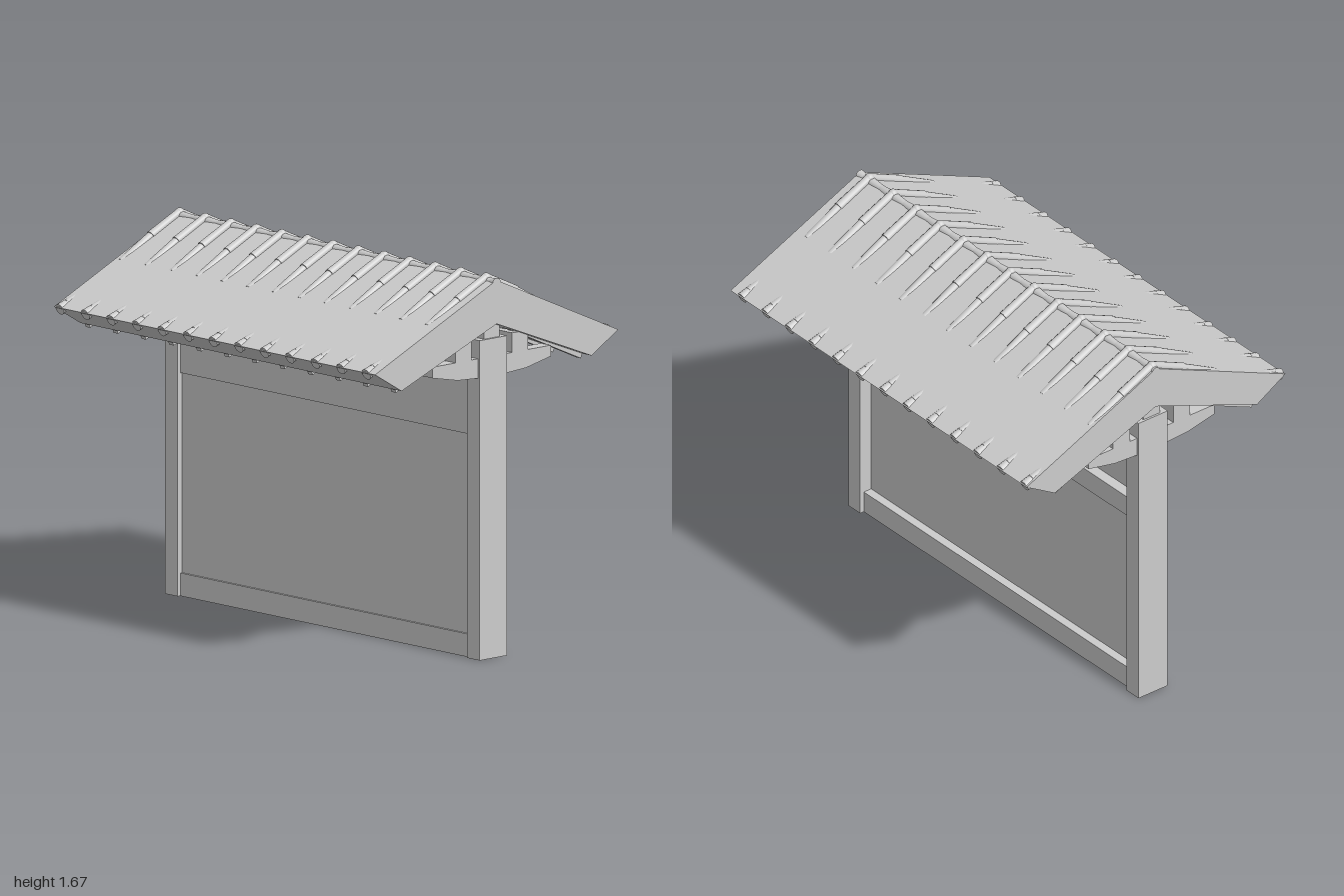
import * as THREE from 'three';

export function createModel() {
  const model = new THREE.Group();
  const mat = new THREE.MeshStandardMaterial({ color: 0xcccccc });

  function add(name, geometry, parent = model) {
    const mesh = new THREE.Mesh(geometry, mat);
    mesh.name = name;
    parent.add(mesh);
    return mesh;
  }

  function group(name) {
    const g = new THREE.Group();
    g.name = name;
    model.add(g);
    return g;
  }

  // Box given by its limits on each axis
  function box(name, x0, x1, y0, y1, z0, z1, parent) {
    const mesh = add(name, new THREE.BoxGeometry(x1 - x0, y1 - y0, z1 - z0), parent);
    mesh.position.set((x0 + x1) / 2, (y0 + y1) / 2, (z0 + z1) / 2);
    return mesh;
  }

  // Outline in [z, y], mirrored in z and extruded along x
  function profile(name, half, x0, x1, parent) {
    const mirrored = half.map(([z, y]) => [-z, y]).reverse().filter(([z]) => z !== 0);
    const pts = [...half, ...mirrored].map(([z, y]) => new THREE.Vector2(z, y));
    const geo = new THREE.ExtrudeGeometry(new THREE.Shape(pts), { depth: x1 - x0, bevelEnabled: false });
    geo.rotateY(-Math.PI / 2);
    geo.translate(x1, 0, 0);
    return add(name, geo, parent);
  }

  // Tapered round bar between two points
  function bar(name, a, b, ra, rb, parent) {
    const dir = b.clone().sub(a);
    const mesh = add(name, new THREE.CylinderGeometry(rb, ra, dir.length(), 14), parent);
    mesh.position.copy(a).add(b).multiplyScalar(0.5);
    mesh.quaternion.setFromUnitVectors(new THREE.Vector3(0, 1, 0), dir.normalize());
    return mesh;
  }

  // Posts with the cross brackets that carry the purlins
  const frame = group('frame');
  for (const x of [-0.94, 0.94]) {
    box('post', x - 0.04, x + 0.04, 0, 1.39, -0.08, 0.08, frame);
    profile('bracket', [[0, 1.225], [0.08, 1.225], [0.2, 1.232], [0.345, 1.262], [0.345, 1.31], [0, 1.31]],
      x - 0.03, x + 0.03, frame);
  }
  for (const s of [-1, 1]) {
    box('purlin', -0.97, 0.97, 1.31, 1.395, s * 0.165 - 0.046, s * 0.165 + 0.046, frame);
  }
  box('ridgeBeam', -0.97, 0.97, 1.385, 1.46, -0.045, 0.045, frame);

  // Wall: panel, base rail, flush front beam and projecting rear rails
  const wall = group('wall');
  box('wallPanel', -0.905, 0.905, 0.05, 1.385, -0.02, 0.055, wall);
  box('baseRail', -0.905, 0.905, 0, 0.1, -0.06, 0.065, wall);
  box('frontBeam', -0.905, 0.905, 0.97, 1.38, 0.04, 0.065, wall);
  box('rearRail', -0.905, 0.905, 0.875, 0.97, -0.07, 0, wall);
  box('rearTopBeam', -0.905, 0.905, 1.18, 1.3, -0.07, 0, wall);

  // Solid gabled roof
  profile('roof', [[0, 1.455], [0.555, 1.24], [0.71, 1.332], [0, 1.645]], -1, 1);

  // Rafters under both slopes
  const rafters = group('rafters');
  const slope = Math.atan2(0.44, 1);
  for (let i = 0; i < 12; i++) {
    for (const s of [-1, 1]) {
      const rafter = add('rafter', new THREE.BoxGeometry(0.028, 0.038, 0.5), rafters);
      rafter.position.set(-0.968 + i * 0.173, 1.341, s * 0.318);
      rafter.rotation.x = s * slope;
    }
  }

  // Rows of cover tiles: tapered segments that sag into the slope, capped at the eave
  const tiles = group('coverTiles');
  const course = [[0, 1.648], [0.17, 1.568], [0.34, 1.474], [0.53, 1.382], [0.66, 1.338]];
  const tileX = Array.from({ length: 13 }, (_, i) => -0.973 + i * 0.159);
  for (const x of tileX) {
    const crown = add('crownTile', new THREE.SphereGeometry(0.022, 14, 10), tiles);
    crown.position.set(x, 1.646, 0);
    for (const s of [-1, 1]) {
      const pts = course.map(([z, y]) => new THREE.Vector3(x, y, s * z));
      for (let k = 0; k < pts.length - 1; k++) {
        bar('coverTile', pts[k], pts[k + 1], 0.019, 0.022, tiles);
      }
      bar('eaveCap', pts[4], new THREE.Vector3(x, 1.322, s * 0.7), 0.022, 0.025, tiles);
    }
  }

  // Ridge: barrel tiles between the rows
  const ridge = group('ridgeTiles');
  const ends = [...tileX, 1];
  for (let i = 0; i < ends.length - 1; i++) {
    const mid = (ends[i] + ends[i + 1]) / 2;
    const at = (x) => new THREE.Vector3(x, 1.631, 0);
    bar('ridgeTile', at(ends[i]), at(mid), 0.024, 0.018, ridge);
    bar('ridgeTile', at(mid), at(ends[i + 1]), 0.018, 0.024, ridge);
  }
  bar('ridgeTile', new THREE.Vector3(-1, 1.631, 0), new THREE.Vector3(-0.973, 1.631, 0), 0.02, 0.024, ridge);

  return model;
}
